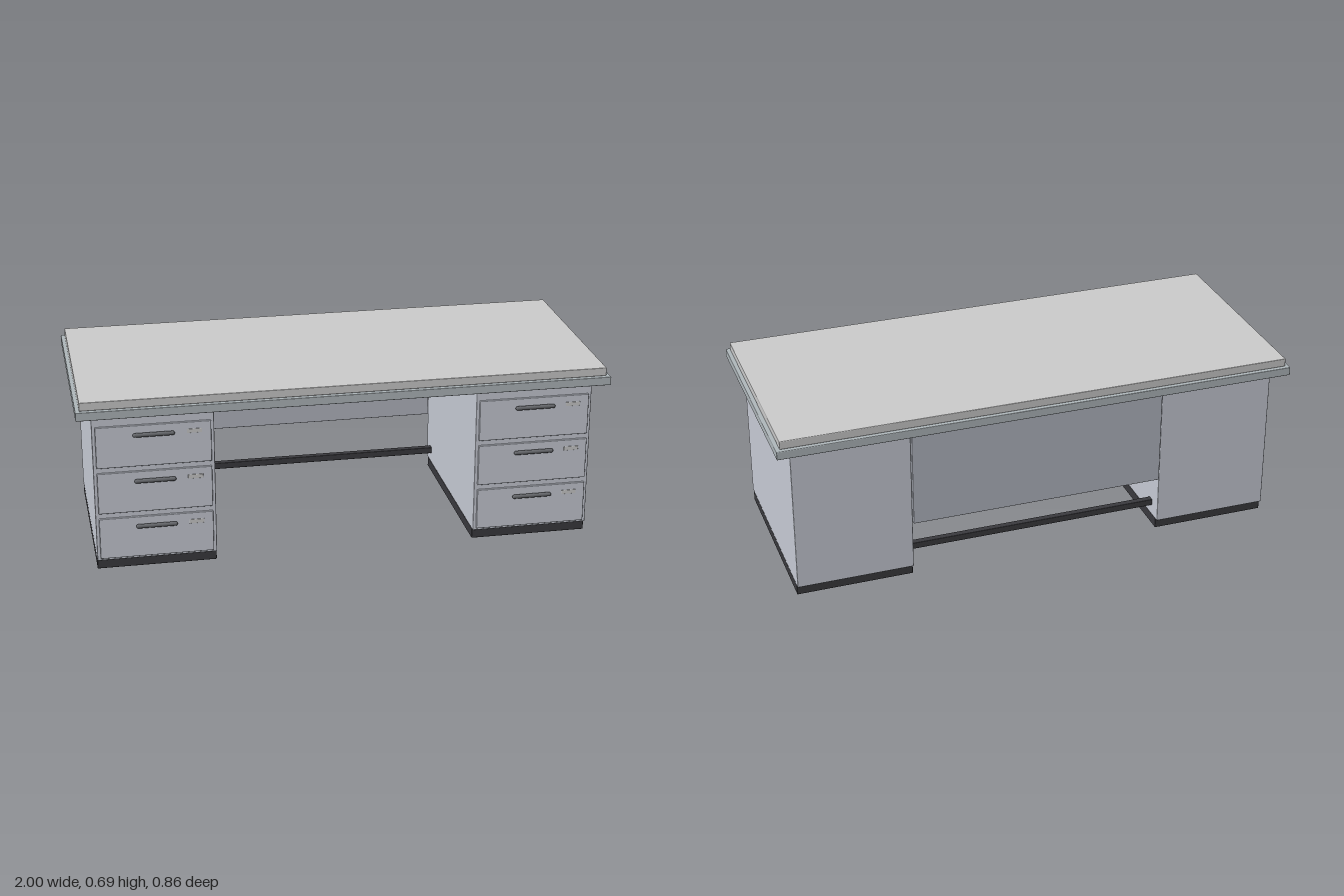
import * as THREE from 'three';
import { RoundedBoxGeometry } from 'three/addons/geometries/RoundedBoxGeometry.js';

const mat = (color) => new THREE.MeshStandardMaterial({ color });
const topMat = mat(0xc4c4c2);
const edgeMat = mat(0xb0b8bc);
const bodyMat = mat(0xc8ccd6);
const panelMat = mat(0xb4b8c2);
const darkMat = mat(0x3a3a3e);
const handleMat = mat(0x66686c);
const labelMat = mat(0xc4c4c0);

// Softly bevelled box given by its min/max on each axis
function block(name, [x0, x1], [y0, y1], [z0, z1], material, radius = 0.003) {
  const geo = new RoundedBoxGeometry(x1 - x0, y1 - y0, z1 - z0, 2, radius);
  const mesh = new THREE.Mesh(geo, material);
  mesh.name = name;
  mesh.position.set((x0 + x1) / 2, (y0 + y1) / 2, (z0 + z1) / 2);
  return mesh;
}

// Round bar handle on two short posts
function makeHandle() {
  const handle = new THREE.Group();
  handle.name = 'handle';
  const bar = new THREE.Mesh(new THREE.CapsuleGeometry(0.008, 0.138, 6, 16), handleMat);
  bar.name = 'handleBar';
  bar.rotation.z = Math.PI / 2;
  bar.position.z = 0.398;
  handle.add(bar);
  for (const side of [-1, 1]) {
    const post = new THREE.Mesh(new THREE.CylinderGeometry(0.004, 0.004, 0.014, 12), handleMat);
    post.name = 'handlePost';
    post.rotation.x = Math.PI / 2;
    post.position.set(side * 0.055, 0, 0.391);
    handle.add(post);
  }
  return handle;
}

// Drawer front with its handle and small label plate
function makeDrawer(y0, y1) {
  const drawer = new THREE.Group();
  drawer.name = 'drawer';
  drawer.add(block('drawerFront', [-0.212, 0.212], [y0, y1], [0.372, 0.387], bodyMat));
  const handle = makeHandle();
  handle.position.y = y1 - 0.034;
  drawer.add(handle);
  drawer.add(block('labelPlate', [0.122, 0.178], [y1 - 0.043, y1 - 0.027], [0.385, 0.3885], labelMat, 0.001));
  return drawer;
}

// Drawer pedestal on a recessed plinth
function makePedestal(name, x) {
  const pedestal = new THREE.Group();
  pedestal.name = name;
  pedestal.position.x = x;
  pedestal.add(block('plinth', [-0.224, 0.224], [0, 0.04], [-0.363, 0.363], darkMat));
  pedestal.add(block('cabinet', [-0.224, 0.224], [0.04, 0.613], [-0.378, 0.378], bodyMat));
  for (let i = 0; i < 3; i++) {
    const y0 = 0.05 + i * 0.1815;
    pedestal.add(makeDrawer(y0, y0 + 0.161));
  }
  return pedestal;
}

export function createModel() {
  const desk = new THREE.Group();
  desk.name = 'desk';

  // Stepped desktop
  desk.add(block('desktopBase', [-1, 1], [0.621, 0.654], [-0.43, 0.43], edgeMat));
  desk.add(block('desktopSurface', [-0.985, 0.985], [0.654, 0.686], [-0.415, 0.415], topMat));

  desk.add(makePedestal('leftPedestal', 0.719));
  desk.add(makePedestal('rightPedestal', -0.719));

  // Back panel and foot rail between the pedestals
  desk.add(block('modestyPanel', [-0.493, 0.493], [0.231, 0.607], [-0.385, -0.366], panelMat, 0.002));
  desk.add(block('footRail', [-0.497, 0.497], [0.081, 0.107], [-0.325, -0.299], darkMat));

  return desk;
}
